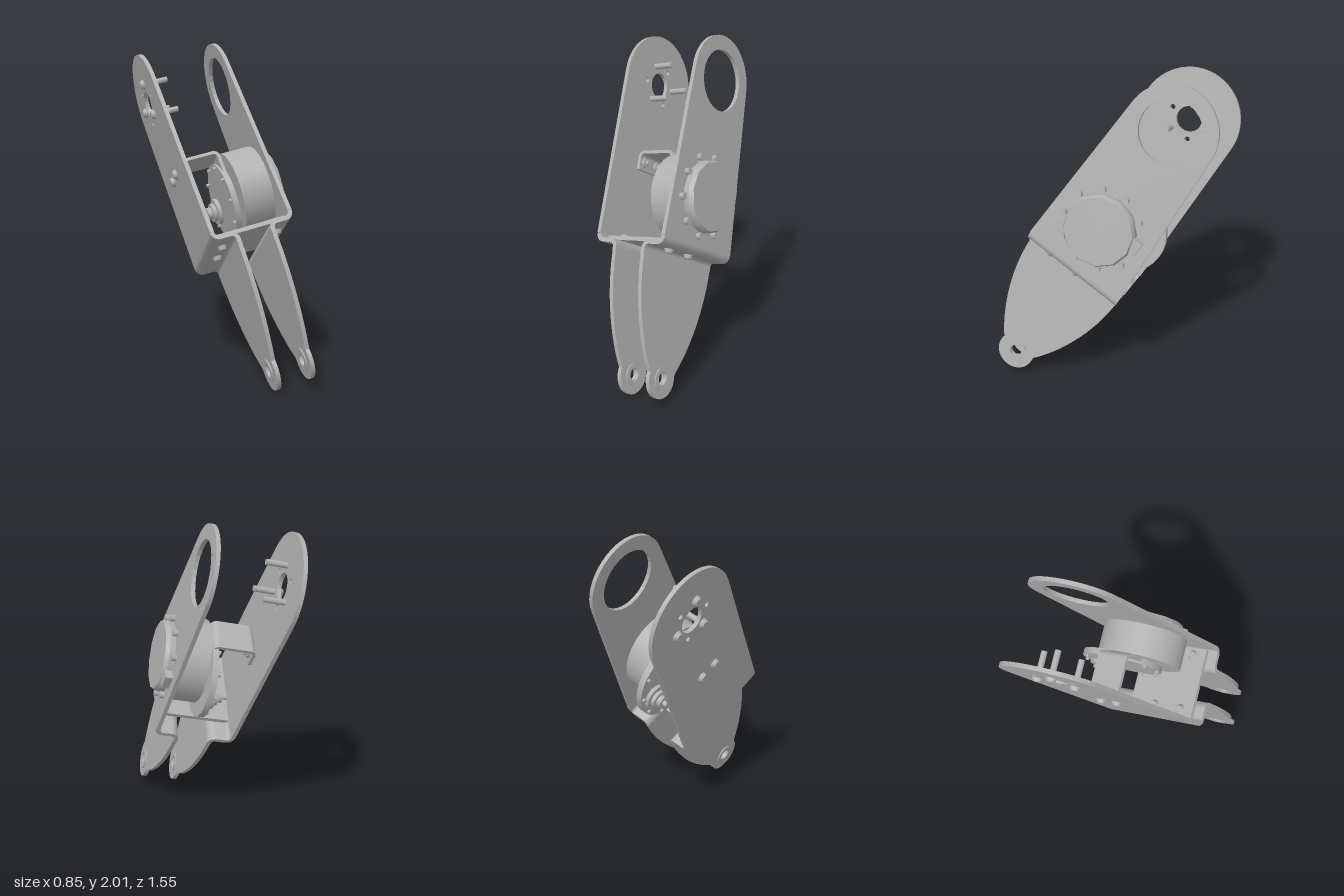
import * as THREE from 'three';

export function createModel() {
  const grey = new THREE.MeshStandardMaterial({ color: 0xb0b0b0 });
  grey.name = 'grey metal';

  // Local frame: x across the two plates, y along the arm, z across its width
  const arm = new THREE.Group();
  arm.name = 'armBracket';
  const T = 0.025;

  function add(name, geo, parent = arm) {
    const m = new THREE.Mesh(geo, grey);
    m.name = name;
    parent.add(m);
    return m;
  }
  // Cylinder along x from x0 to x1
  function rod(name, r0, r1, x0, x1, y, z, seg = 16) {
    const g = new THREE.CylinderGeometry(r1, r0, x1 - x0, seg);
    g.rotateZ(-Math.PI / 2);
    g.translate((x0 + x1) / 2, y, z);
    return add(name, g);
  }
  function box(name, x0, x1, y0, y1, z0, z1) {
    const g = new THREE.BoxGeometry(x1 - x0, y1 - y0, z1 - z0);
    g.translate((x0 + x1) / 2, (y0 + y1) / 2, (z0 + z1) / 2);
    return add(name, g);
  }
  // Sheet cut from an outline (shape x is -z here), centred on x
  function sheet(name, shape, x, t = T) {
    const g = new THREE.ExtrudeGeometry(shape, { depth: t, bevelEnabled: false, curveSegments: 14 });
    g.rotateY(Math.PI / 2);
    g.translate(x - t / 2, 0, 0);
    return add(name, g);
  }
  function hole(shape, x, y, r) {
    const p = new THREE.Path();
    p.absarc(x, y, r, 0, Math.PI * 2, true);
    shape.holes.push(p);
  }
  const polar = (r, a) => [r * Math.cos(a), r * Math.sin(a)];

  // Upper plates: tapered with a round end
  const TOP = 1.83;
  function upperShape(r, a) {
    const s = new THREE.Shape();
    s.moveTo(-0.342, 0.8);
    s.lineTo(0.342, 0.8);
    s.absarc(0, TOP, r, a, Math.PI - a, false);
    s.closePath();
    return s;
  }
  const driveShape = upperShape(0.278, 0.06);
  hole(driveShape, 0, TOP, 0.19);
  sheet('drivePlate', driveShape, 0.2425);

  const hornShape = upperShape(0.315, 0.03);
  hole(hornShape, 0, TOP, 0.08);
  for (let i = 0; i < 6; i++) {
    const [x, y] = polar(0.125, Math.PI / 6 + i * Math.PI / 3 + Math.PI / 6);
    if (i % 2 === 0) hole(hornShape, x, TOP + y, 0.016);
  }
  sheet('hornPlate', hornShape, -0.2425);

  // Three long screws around the small hole
  for (let i = 0; i < 3; i++) {
    const [c, s] = polar(0.125, Math.PI + i * Math.PI * 2 / 3);
    rod('hornScrew', 0.018, 0.018, -0.25, -0.1, TOP + s, c, 10);
    rod('hornScrewHead', 0.022, 0.034, -0.278, -0.255, TOP + s, c, 12);
  }

  // Lower leaf-shaped plates with pivot holes
  const leaf = new THREE.Shape();
  leaf.moveTo(-0.335, 0.7);
  leaf.bezierCurveTo(-0.33, 0.42, -0.22, 0.17, -0.117, 0.03);
  leaf.absarc(0, 0, 0.121, Math.PI - 0.25, Math.PI * 2 + 0.25, false);
  leaf.bezierCurveTo(0.22, 0.17, 0.33, 0.42, 0.335, 0.7);
  leaf.closePath();
  hole(leaf, 0, 0, 0.04);
  const ring = new THREE.Shape();
  ring.absarc(0, 0, 0.068, 0, Math.PI * 2, false);
  hole(ring, 0, 0, 0.038);

  // S-shaped bend joining the upper and lower plates
  const bend = new THREE.Shape();
  const P = Math.PI;
  bend.moveTo(0.255, 0.81);
  bend.lineTo(0.255, 0.795);
  bend.absarc(0.205, 0.795, 0.05, 0, -P / 2, true);
  bend.lineTo(0.145, 0.745);
  bend.absarc(0.145, 0.72, 0.025, P / 2, P, false);
  bend.lineTo(0.12, 0.69);
  bend.lineTo(0.095, 0.69);
  bend.lineTo(0.095, 0.72);
  bend.absarc(0.145, 0.72, 0.05, P, P / 2, true);
  bend.lineTo(0.205, 0.77);
  bend.absarc(0.205, 0.795, 0.025, -P / 2, 0, false);
  bend.lineTo(0.23, 0.81);
  bend.closePath();

  for (const side of [1, -1]) {
    sheet('lowerPlate', leaf, side * 0.1075);
    sheet('pivotRing', ring, side * 0.1075, T + 0.014);
    const g = new THREE.ExtrudeGeometry(bend, { depth: 0.676, bevelEnabled: false, curveSegments: 6 });
    g.translate(0, 0, -0.338);
    if (side < 0) g.rotateY(P);
    add('shelfBend', g);
    // Shelf screws with a head above and a nut below
    for (const z of [0.18, -0.015]) {
      const head = new THREE.CylinderGeometry(0.02, 0.034, 0.022, 14);
      head.translate(side * 0.175, 0.806, z);
      add('shelfScrew', head);
      const nut = new THREE.CylinderGeometry(0.03, 0.022, 0.025, 12);
      nut.translate(side * 0.175, 0.733, z);
      add('shelfNut', nut);
    }
  }
  box('crossStrip', -0.225, 0.225, 0.77, 0.795, -0.2, 0.27);

  // Motor: body inside the plate, faceted cap outside
  const MY = 1.1;
  rod('motorBody', 0.26, 0.26, 0.04, 0.235, MY, 0, 32);
  rod('motorCap', 0.225, 0.225, 0.25, 0.29, MY, 0, 12);
  rod('motorCapFace', 0.225, 0.212, 0.29, 0.315, MY, 0, 12);
  box('capTab', 0.25, 0.3, MY + 0.0, MY + 0.1, -0.255, -0.19);
  for (let i = 0; i < 10; i++) {
    const [c, s] = polar(0.246, P / 6 + i * P / 5);
    if (i !== 7) rod('capBolt', 0.021, 0.021, 0.25, 0.283, MY + c, s, 8);
  }

  // Rear flange with rim bolts and a stepped hub
  rod('motorFlange', 0.25, 0.25, 0.005, 0.045, MY, -0.12, 32);
  for (let i = 0; i < 10; i++) {
    const [c, s] = polar(0.23, i * P / 5);
    rod('flangeBolt', 0.012, 0.012, -0.012, 0.01, MY + c, -0.12 + s, 8);
  }
  const hub = [[0.085, 0.01, -0.02], [0.06, -0.02, -0.045], [0.04, -0.045, -0.075], [0.018, -0.075, -0.105]];
  for (const [r, x1, x0] of hub) rod('rearHub', r, r, x0, x1, MY, -0.26, 16);

  // Support bracket between the motor and the plain plate
  const strap = new THREE.Shape();
  strap.moveTo(-0.23, 1.25);
  strap.lineTo(-0.23, 1.33);
  strap.absarc(-0.19, 1.33, 0.04, P, P / 2, true);
  strap.lineTo(0.0, 1.37);
  strap.absarc(0.0, 1.33, 0.04, P / 2, 0, true);
  strap.lineTo(0.04, 1.2);
  strap.lineTo(0.02, 1.2);
  strap.lineTo(0.02, 1.33);
  strap.absarc(0.0, 1.33, 0.02, 0, P / 2, false);
  strap.lineTo(-0.19, 1.35);
  strap.absarc(-0.19, 1.33, 0.02, P / 2, P, false);
  strap.lineTo(-0.21, 1.25);
  strap.closePath();
  const sg = new THREE.ExtrudeGeometry(strap, { depth: 0.21, bevelEnabled: false, curveSegments: 6 });
  sg.translate(0, 0, -0.11);
  add('supportBracket', sg);
  for (const z of [-0.058, 0.058]) {
    rod('bracketNut', 0.03, 0.03, -0.21, -0.19, 1.3, z, 6);
    rod('bracketScrew', 0.016, 0.016, -0.25, -0.17, 1.3, z, 10);
    rod('bracketScrewHead', 0.022, 0.034, -0.278, -0.255, 1.3, z, 12);
  }

  // Lean the whole arm into its pose
  const n = new THREE.Vector3(0.85, 0.22, 0.48).normalize();
  const l = new THREE.Vector3(0.086, 0.839, -0.537);
  l.addScaledVector(n, -l.dot(n)).normalize();
  const w = new THREE.Vector3().crossVectors(n, l);
  arm.quaternion.setFromRotationMatrix(new THREE.Matrix4().makeBasis(n, l, w));
  arm.position.set(-0.09, 0.145, 0.62);

  const model = new THREE.Group();
  model.name = 'leaningArm';
  model.add(arm);
  return model;
}
